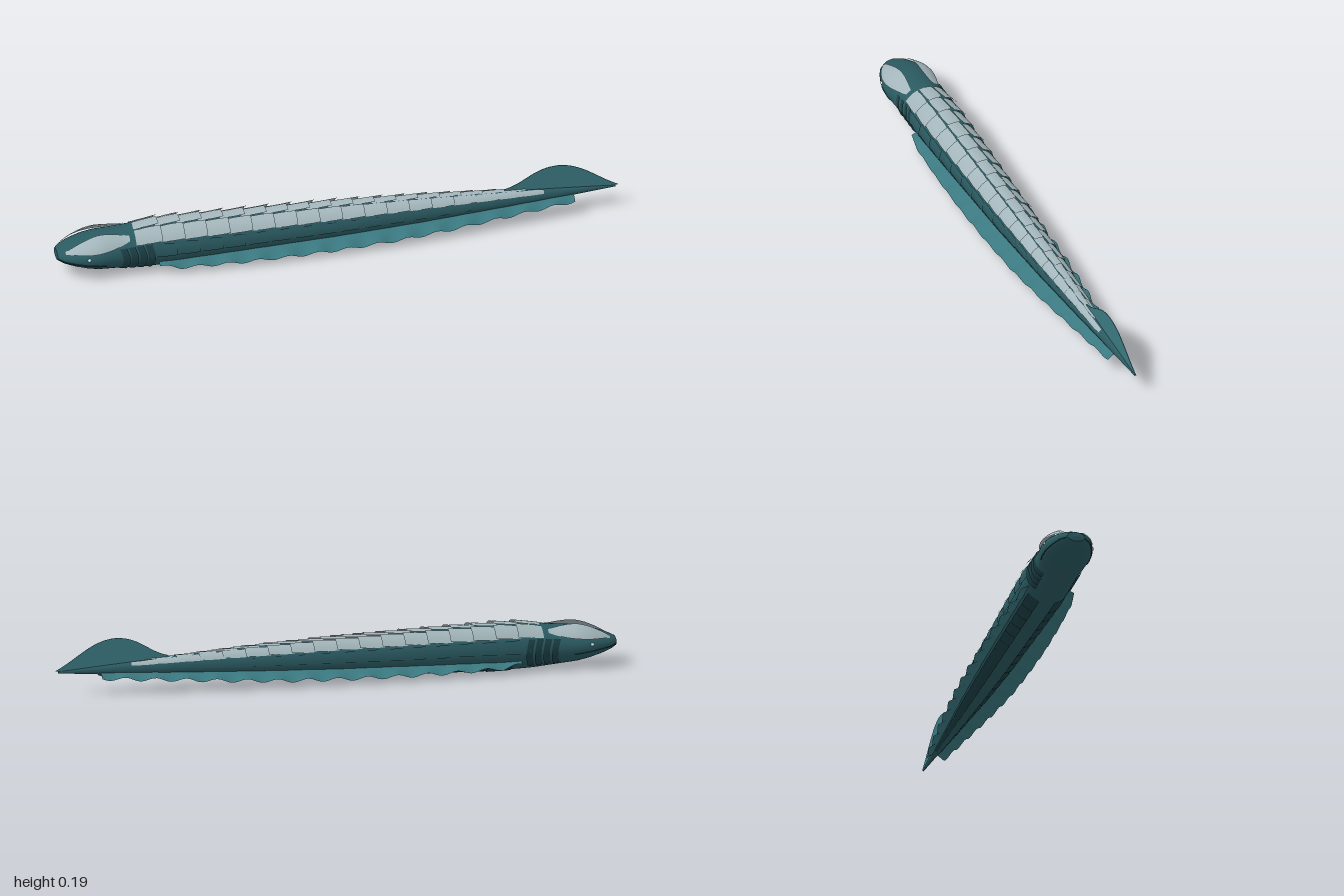
import * as THREE from 'three';

const mat = (color) => new THREE.MeshStandardMaterial({ color, side: THREE.DoubleSide });
const skin = mat(0x2a5a61), dark = mat(0x1c4046), finMat = mat(0x3a7880), plateMat = mat(0xa3b6bb), eyeMat = mat(0xd8e4e4);
const CY = 0.085;

// Linear lookup in a short list of [x, ...values]
function lookup(rows, x) {
  let i = 0;
  while (i < rows.length - 2 && x > rows[i + 1][0]) i++;
  const a = rows[i], b = rows[i + 1];
  const t = THREE.MathUtils.clamp((x - a[0]) / (b[0] - a[0]), 0, 1);
  return a.slice(1).map((v, k) => v + (b[k + 1] - v) * t);
}

// x, half height, half width of the body
const BODY = [
  [-1, 0.017, 0.032], [-0.985, 0.025, 0.052], [-0.95, 0.039, 0.071], [-0.9, 0.053, 0.087], [-0.86, 0.062, 0.09],
  [-0.76, 0.072, 0.083], [-0.7, 0.078, 0.082], [-0.6, 0.081, 0.082], [-0.4, 0.076, 0.077], [0, 0.065, 0.065],
  [0.3, 0.051, 0.05], [0.6, 0.032, 0.029], [0.8, 0.018, 0.014], [0.99, 0.003, 0.002],
];

// Point on the body skin; angle 0 is the +z side, 90 degrees the back
function onBody(x, angle, lift = 0) {
  const [h, w] = lookup(BODY, x);
  return [x, CY + (h + lift) * Math.sin(angle), (w + lift) * Math.cos(angle)];
}

// Surface grid from a rule point(u, v)
function sheet(name, material, nu, nv, point) {
  const pos = [], index = [];
  for (let i = 0; i <= nu; i++) {
    for (let j = 0; j <= nv; j++) {
      pos.push(...point(i / nu, j / nv));
      if (i < nu && j < nv) {
        const a = i * (nv + 1) + j, b = a + nv + 1;
        index.push(a, a + 1, b, b, a + 1, b + 1);
      }
    }
  }
  const g = new THREE.BufferGeometry();
  g.setAttribute('position', new THREE.Float32BufferAttribute(pos, 3));
  g.setIndex(index);
  g.computeVertexNormals();
  const mesh = new THREE.Mesh(g, material);
  mesh.name = name;
  return mesh;
}

const deg = THREE.MathUtils.degToRad;
const sizeAt = (x) => lookup(BODY, x)[0] / 0.081;

// Row of overlapping scutes between two angles, each flared at its rear end
function scuteRow(name, material, x0, x1, count, aMin, aMax, flare) {
  const row = new THREE.Group();
  row.name = name;
  const step = (x1 - x0) / count;
  for (let k = 0; k < count; k++) {
    row.add(sheet('scute', material, 6, 4, (u, v) => {
      const x = x0 + step * (k + u * 1.15);
      const spread = 0.86 + 0.14 * Math.sin(Math.PI * Math.min(1, 0.15 + u * 0.75));
      const mid = (aMin + aMax) / 2;
      const angle = deg(mid + (v - 0.5) * (aMax - aMin) * spread);
      const lift = (0.003 + flare * Math.pow(u, 1.3)) * Math.max(0.25, sizeAt(x));
      return onBody(x, angle, lift);
    }));
  }
  return row;
}

export function createModel() {
  const model = new THREE.Group();
  model.name = 'armouredEel';

  // Tapered body with closed ends, seam under the belly
  model.add(sheet('body', skin, 100, 36, (u, v) => {
    const x = -1 + 1.99 * u;
    return onBody(x, -Math.PI / 2 - v * 2 * Math.PI);
  }));
  model.add(sheet('snoutCap', skin, 2, 36, (u, v) => {
    const [, y, z] = onBody(-1, -Math.PI / 2 - v * 2 * Math.PI);
    return [-1 - 0.002 * (1 - u), CY + (y - CY) * u, z * u];
  }));

  // Pale armour on the back: a middle row and one broad row each side
  model.add(scuteRow('dorsalScutes', plateMat, -0.73, 0.66, 18, 73, 107, 0.009));
  for (const s of [1, -1]) {
    const a = (t) => (s > 0 ? t : 180 - t);
    model.add(scuteRow('shoulderScutes', plateMat, -0.73, 0.72, 18, a(29), a(71), 0.01));
    model.add(scuteRow('flankScutes', skin, -0.68, 0.78, 18, a(-8), a(25), 0.005));
    model.add(scuteRow('bellyScutes', dark, -0.62, 0.78, 18, a(-72), a(-38), 0.003));

    // Pale plate over each side of the head
    model.add(sheet('headPlate', plateMat, 16, 8, (u, v) => {
      const x = -0.975 + 0.225 * u;
      const half = 23 * Math.pow(Math.sin(Math.PI * (0.06 + 0.88 * u)), 0.7);
      const mid = 45 + 6 * u;
      const lift = 0.003 + 0.013 * Math.sin(Math.PI * Math.min(1, u * 1.1)) * (0.5 + 0.5 * v);
      return onBody(x, deg(a(mid + (2 * v - 1) * half)), lift);
    }));

    // Gill covers as thin flared bands
    for (let k = 0; k < 4; k++) {
      model.add(sheet('gillCover', dark, 3, 12, (u, v) =>
        onBody(-0.79 + k * 0.03 + 0.024 * u + 0.012 * Math.sin(Math.PI * v), deg(a(-48 + 75 * v)), 0.001 + 0.004 * u)));
    }

    // Mouth line
    const lip = [];
    for (let k = 0; k <= 8; k++) lip.push(new THREE.Vector3(...onBody(-0.998 + 0.02 * k, deg(a(-14 - k)), 0)));
    const mouth = new THREE.Mesh(new THREE.TubeGeometry(new THREE.CatmullRomCurve3(lip), 16, 0.0022, 5), dark);
    mouth.name = 'mouthLine';
    model.add(mouth);

    // Eye
    const eye = new THREE.Mesh(new THREE.SphereGeometry(0.006, 12, 8), eyeMat);
    eye.name = 'eye';
    eye.position.set(...onBody(-0.9, deg(a(9)), -0.001));
    model.add(eye);

    // Long rippling side fin: outer edge as x, y, z
    const EDGE = [
      [-0.65, 0.038, 0.088], [-0.58, 0.029, 0.101], [-0.4, 0.026, 0.108], [-0.2, 0.025, 0.111], [0, 0.027, 0.108],
      [0.2, 0.031, 0.1], [0.4, 0.039, 0.083], [0.6, 0.049, 0.061], [0.84, 0.06, 0.033],
    ];
    model.add(sheet('sideFin', finMat, 150, 6, (u, v) => {
      const x = -0.65 + 1.49 * u;
      const root = onBody(x, deg(a(-30)), -0.003);
      const [ey, ez] = lookup(EDGE, x);
      const ripple = 0.0065 * v * Math.sin(u * 2 * Math.PI * 14);
      return [x, root[1] + (ey - root[1]) * v + ripple, root[2] + (s * ez - root[2]) * v + s * ripple * 0.3];
    }));
  }

  // Tall tail fin on the centre line
  const tail = new THREE.Shape();
  tail.moveTo(0.56, 0.105);
  tail.lineTo(0.6, 0.125);
  tail.bezierCurveTo(0.67, 0.142, 0.7, 0.195, 0.785, 0.195);
  tail.bezierCurveTo(0.87, 0.192, 0.92, 0.13, 1, 0.09);
  tail.lineTo(0.9, 0.078);
  tail.lineTo(0.7, 0.085);
  tail.closePath();
  const fin = new THREE.Mesh(new THREE.ExtrudeGeometry(tail, { depth: 0.002, bevelEnabled: false, curveSegments: 16 }), finMat);
  fin.position.z = -0.001;
  fin.name = 'tailFin';
  model.add(fin);

  return model;
}
